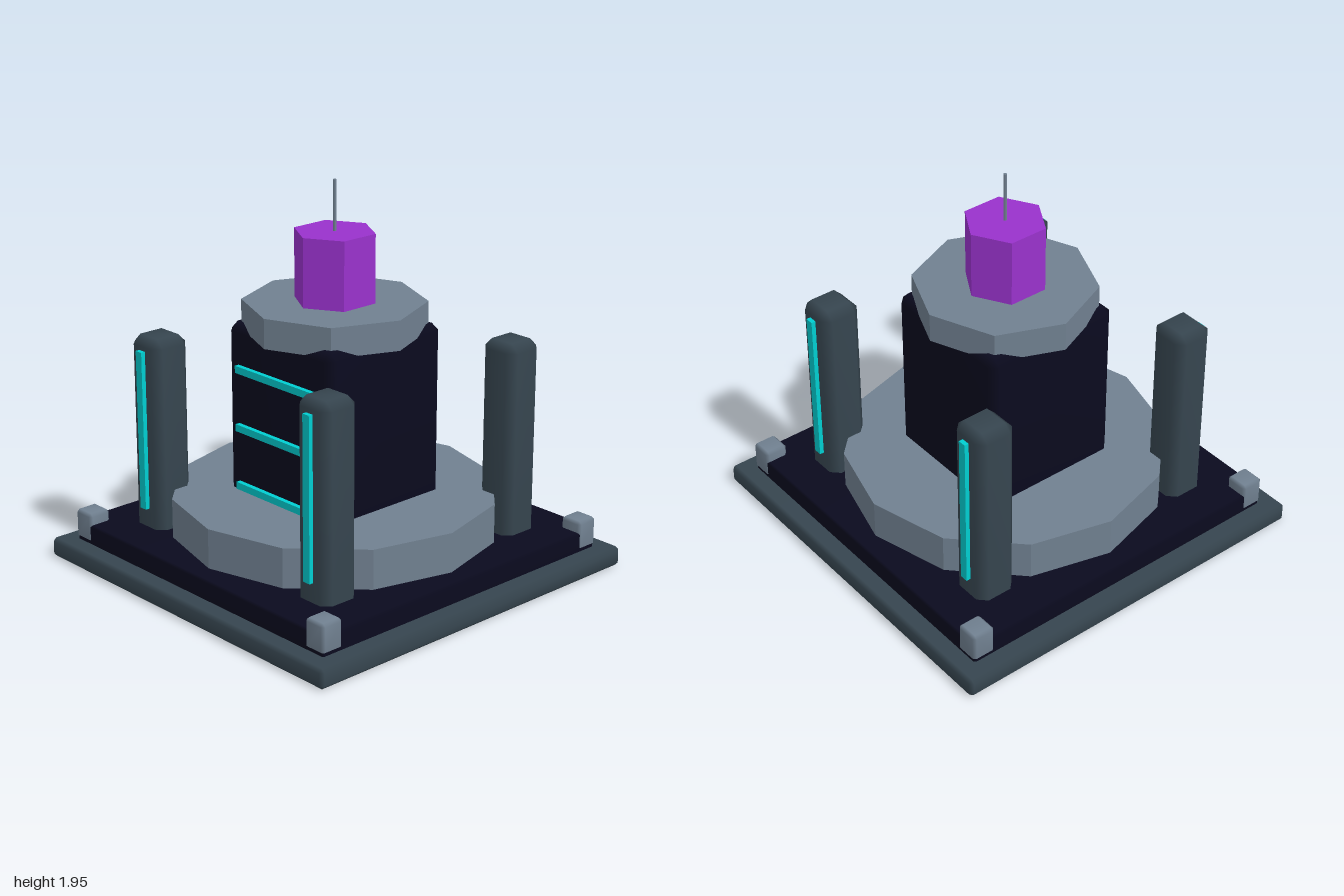
import * as THREE from 'three';
import { mergeVertices } from 'three/addons/utils/BufferGeometryUtils.js';
import { ConvexGeometry } from 'three/addons/geometries/ConvexGeometry.js';

const paint = (name, color) => {
  const m = new THREE.MeshStandardMaterial({ color });
  m.name = name;
  return m;
};

// Box with every edge chamfered by c, softly shaded over the chamfers
function chamferBox(w, h, d, c) {
  const [x, y, z] = [w / 2, h / 2, d / 2];
  const points = [];
  for (const i of [-1, 1]) for (const j of [-1, 1]) for (const k of [-1, 1]) {
    points.push(
      new THREE.Vector3(i * x, j * (y - c), k * (z - c)),
      new THREE.Vector3(i * (x - c), j * y, k * (z - c)),
      new THREE.Vector3(i * (x - c), j * (y - c), k * z));
  }
  const hull = new ConvexGeometry(points);
  hull.deleteAttribute('normal');
  const geometry = mergeVertices(hull, 1e-4);
  geometry.computeVertexNormals();
  return geometry;
}

// Faceted upright prism with a corner on the z axis
function prism(radius, height, sides) {
  const geometry = new THREE.CylinderGeometry(radius, radius, height, sides).toNonIndexed();
  geometry.computeVertexNormals();
  return geometry;
}

export function createModel() {
  const model = new THREE.Group();
  model.name = 'tower';
  const charcoal = paint('charcoal', 0x36454f);
  const midnight = paint('midnight', 0x0a0a1e);
  const slate = paint('slate', 0x708090);
  const purple = paint('purple', 0x9932cc);
  const cyan = paint('cyan', 0x00ced1);

  const add = (name, geometry, material, x, y, z) => {
    const mesh = new THREE.Mesh(geometry, material);
    mesh.name = name;
    mesh.position.set(x, y, z);
    model.add(mesh);
  };

  // Stepped platform
  add('basePlate', chamferBox(2, 0.1, 2, 0.018), charcoal, 0, 0.05, 0);
  add('deck', chamferBox(1.81, 0.14, 1.81, 0.01), midnight, 0, 0.13, 0);
  add('plinth', prism(0.807, 0.2, 12), slate, 0, 0.3, 0);

  // Central tower
  add('core', chamferBox(0.742, 0.9, 0.742, 0.042), midnight, 0, 0.795, 0);
  add('cap', prism(0.448, 0.148, 8), slate, 0, 1.28, 0);
  add('beacon', prism(0.202, 0.342, 6), purple, 0, 1.525, 0);
  add('antenna', prism(0.009, 0.25, 6), slate, 0, 1.82, 0);

  // Light bars across the front of the core
  for (const y of [0.428, 0.728, 1.026]) {
    add('coreLight', new THREE.BoxGeometry(0.555, 0.036, 0.04), cyan, 0, y, 0.376);
  }

  // Four pillars with outward light strips, and four corner blocks
  const pillar = chamferBox(0.213, 1.03, 0.213, 0.042);
  const strip = new THREE.BoxGeometry(0.043, 0.81, 0.04);
  const block = chamferBox(0.122, 0.15, 0.122, 0.015);
  for (const sx of [-1, 1]) for (const sz of [-1, 1]) {
    add('pillar', pillar, charcoal, sx * 0.598, 0.658, sz * 0.598);
    add('pillarLight', strip, cyan, sx * 0.598, 0.705, sz * 0.707);
    add('cornerBlock', block, slate, sx * 0.849, 0.182, sz * 0.849);
  }
  return model;
}
